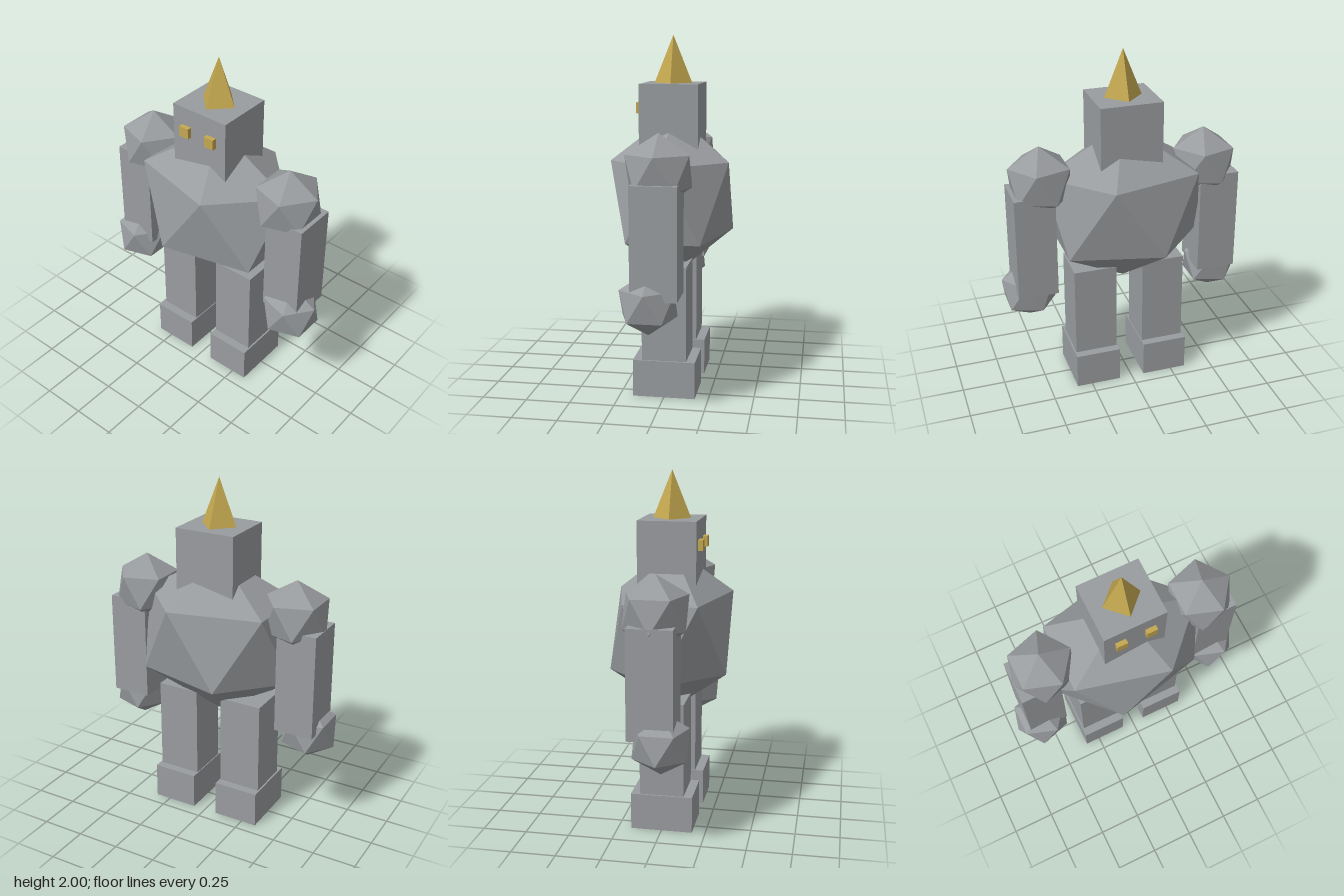
import * as THREE from 'three';

export function createModel() {
  const model = new THREE.Group();
  const stone = new THREE.MeshStandardMaterial({ color: 0x999c9f });
  stone.name = 'grey stone';
  const gold = new THREE.MeshStandardMaterial({ color: 0xc4a850 });
  gold.name = 'gold';

  function add(name, geometry, material, x, y, z) {
    const mesh = new THREE.Mesh(geometry, material);
    mesh.name = name;
    mesh.position.set(x, y, z);
    model.add(mesh);
    return mesh;
  }

  // Box given by its size and centre
  const box = (name, material, w, h, d, x, y, z) =>
    add(name, new THREE.BoxGeometry(w, h, d), material, x, y, z);

  // Faceted boulder: icosahedron standing on a corner, with radii per axis
  function boulder(name, rx, ry, rz, x, y, z) {
    const geometry = new THREE.IcosahedronGeometry(1, 0);
    geometry.rotateZ(-Math.atan(2 / (1 + Math.sqrt(5))));
    geometry.scale(rx, ry, rz);
    geometry.computeVertexNormals();
    add(name, geometry, stone, x, y, z);
  }

  // Body and head
  boulder('torso', 0.52, 0.475, 0.391, 0, 1.095, 0);
  box('head', stone, 0.354, 0.355, 0.33, 0, 1.5575, 0);

  // Horn: four-sided spike
  const horn = new THREE.ConeGeometry(0.107, 0.265, 4).toNonIndexed();
  horn.computeVertexNormals();
  add('horn', horn, gold, 0, 1.8675, 0);

  // Paired parts
  for (const [side, s] of [['left', 1], ['right', -1]]) {
    box(side + 'Eye', gold, 0.06, 0.06, 0.04, s * 0.085, 1.6, 0.172);
    boulder(side + 'Shoulder', 0.2, 0.2, 0.2, s * 0.48, 1.3, 0);
    box(side + 'Arm', stone, 0.23, 0.605, 0.25, s * 0.54, 0.9425, 0);
    boulder(side + 'Fist', 0.175, 0.175, 0.175, s * 0.5625, 0.608, 0.042);
    box(side + 'Leg', stone, 0.25, 0.545, 0.25, s * 0.205, 0.4775, 0);
    box(side + 'Foot', stone, 0.265, 0.21, 0.35, s * 0.2075, 0.105, 0);
  }

  return model;
}
